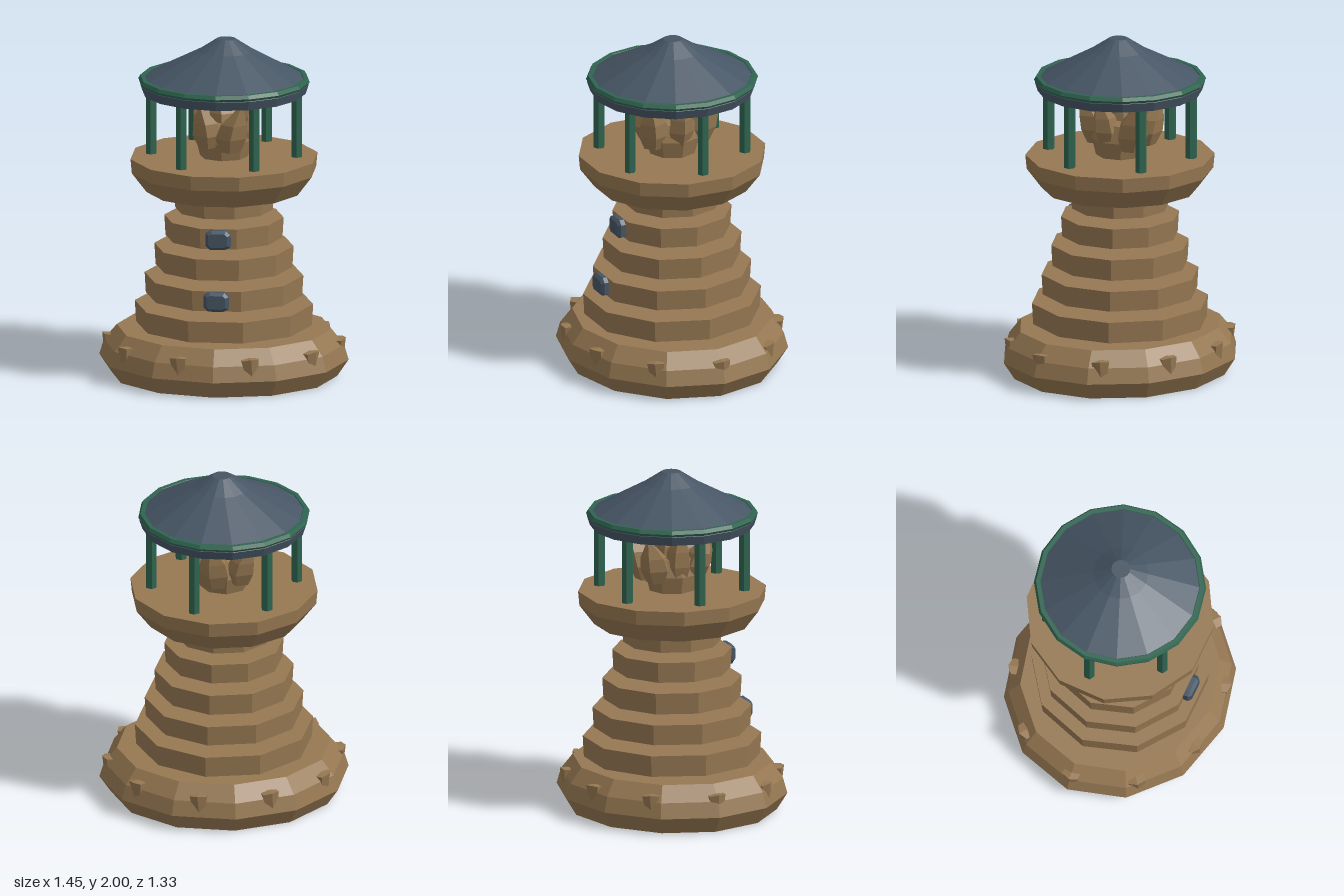
import * as THREE from 'three';

const flat = (name, color) => {
  const m = new THREE.MeshStandardMaterial({ color });
  m.name = name;
  m.flatShading = true;
  return m;
};

export function createModel() {
  const stone = flat('stone', 0x967852);
  const slate = flat('slate', 0x465564);
  const green = flat('green metal', 0x2f6450);
  const timber = flat('dark timber', 0x6e4c36);

  const model = new THREE.Group();
  model.name = 'lighthouse';
  const add = (name, geometry, material, parent = model) => {
    const mesh = new THREE.Mesh(geometry, material);
    mesh.name = name;
    parent.add(mesh);
    return mesh;
  };
  const lathe = (points, sides) =>
    new THREE.LatheGeometry(points.map(([r, y]) => new THREE.Vector2(r, y)), sides);

  // Oval twelve-sided footing
  const base = add('base', lathe([[0, 0], [0.66, 0], [0.727, 0.1], [0.7, 0.19], [0.625, 0.28], [0, 0.28]], 12), stone);
  base.scale.z = 0.912;

  // Small stones set around the footing
  const stones = new THREE.Group();
  stones.name = 'baseStones';
  model.add(stones);
  for (let i = 0; i < 10; i++) {
    const a = i * Math.PI / 5;
    const g = new THREE.CylinderGeometry(0.05, 0.034, 0.125, 6);
    const p = g.attributes.position;
    for (let k = 0; k < p.count; k++) {
      // slanted top and uneven sides
      if (p.getY(k) > 0) p.setY(k, p.getY(k) - 0.25 * Math.abs(p.getX(k) - 0.015));
      else p.setX(k, p.getX(k) + 0.008);
    }
    const s = add('baseStone', g, stone, stones);
    s.position.set(0.668 * Math.cos(a), 0.173, 0.602 * Math.sin(a));
    s.rotation.y = Math.PI / 2 - a;
    s.scale.set(1.15, 1, 0.85);
  }

  // Separate ten-sided tower tiers
  const tiers = [
    [0.3, 0.425, 0.517], [0.475, 0.595, 0.46], [0.645, 0.77, 0.403],
    [0.82, 0.94, 0.345], [0.985, 1.105, 0.288],
  ];
  tiers.forEach(([y0, y1, r], i) => {
    const g = new THREE.CylinderGeometry(r + 0.003, r - 0.004, y1 - y0, 10);
    add('towerTier' + (i + 1), g.rotateY(Math.PI / 10), stone).position.y = (y0 + y1) / 2;
  });

  // Chamfered windows on the front
  for (const [y, z] of [[0.537, 0.425], [0.88, 0.318]]) {
    const w = 0.055, h = 0.04;
    const shape = new THREE.Shape([
      [-w, -h + 0.015], [-w + 0.015, -h], [w - 0.02, -h], [w, -h + 0.01],
      [w, h - 0.015], [w - 0.015, h], [-w + 0.02, h], [-w, h - 0.01],
    ].map(([x, v]) => new THREE.Vector2(x, v)));
    const g = new THREE.ExtrudeGeometry(shape, {
      depth: 0.035, bevelEnabled: true, bevelSize: 0.017, bevelThickness: 0.017, bevelSegments: 1,
    });
    add('window', g, slate).position.set(0, y, z + 0.006);
  }

  // Gallery platform
  const gallery = lathe([[0, 1.1], [0.455, 1.1], [0.542, 1.215], [0.55, 1.3], [0, 1.3]], 12);
  add('gallery', gallery.rotateY(Math.PI / 12), stone);

  // Six posts carrying the roof
  for (let i = 0; i < 6; i++) {
    const a = i * Math.PI / 3;
    const post = add('post', new THREE.CylinderGeometry(0.034, 0.034, 0.4, 6), green);
    post.position.set(0.425 * Math.cos(a), 1.505, 0.425 * Math.sin(a));
  }

  // Faceted beacon: a bowl with pointed shards
  const beacon = new THREE.Group();
  beacon.name = 'beacon';
  model.add(beacon);
  add('beaconBowl', lathe([[0, 1.3], [0.14, 1.3], [0.165, 1.4], [0.14, 1.5], [0, 1.54]], 8), stone, beacon);
  // x, z, width, bottom, top, lean in x, lean in z
  const shards = [
    [0, 0, 0.1, 1.36, 1.7, -0.02, 0],
    [0.05, 0.14, 0.095, 1.36, 1.64, 0.07, 0.05],
    [-0.08, 0.12, 0.09, 1.38, 1.63, -0.04, 0.06],
    [0.06, -0.14, 0.095, 1.36, 1.65, 0.04, -0.09],
    [-0.08, -0.13, 0.09, 1.37, 1.63, -0.05, -0.07],
    [0.11, 0, 0.08, 1.38, 1.66, 0.06, 0.01],
    [-0.1, 0, 0.08, 1.37, 1.68, -0.05, -0.01],
  ];
  shards.forEach(([x, z, w, y0, y1, lx, lz], i) => {
    const h = y1 - y0;
    const g = lathe([[0, 0], [w * 0.65, 0], [w, h * 0.3], [w * 0.85, h * 0.6], [0.012, h], [0, h]], 5);
    g.rotateY(i * 1.3);
    const p = g.attributes.position;
    for (let k = 0; k < p.count; k++) {
      const t = (p.getY(k) / h) ** 2;
      p.setX(k, p.getX(k) + lx * t);
      p.setZ(k, p.getZ(k) + lz * t);
    }
    add('beaconShard', g, stone, beacon).position.set(x, y0, z);
  });

  // Roof with its ceiling, eaves and slightly off-centre peak
  const roof = lathe([
    [0, 1.705], [0.455, 1.705], [0.477, 1.682], [0.494, 1.735],
    [0.468, 1.765], [0.16, 1.93], [0.055, 2], [0, 2],
  ], 16);
  const rp = roof.attributes.position;
  for (let k = 0; k < rp.count; k++) if (rp.getY(k) > 1.9) rp.setX(k, rp.getX(k) + 0.012);
  add('roof', roof, slate);

  // Rings at the eaves
  const ring = (name, r, tube, y, material) =>
    add(name, new THREE.TorusGeometry(r, tube, 6, 16).rotateX(Math.PI / 2), material).position.y = y;
  ring('roofRing', 0.476, 0.024, 1.752, green);
  ring('ceilingRing', 0.445, 0.018, 1.698, timber);

  return model;
}
